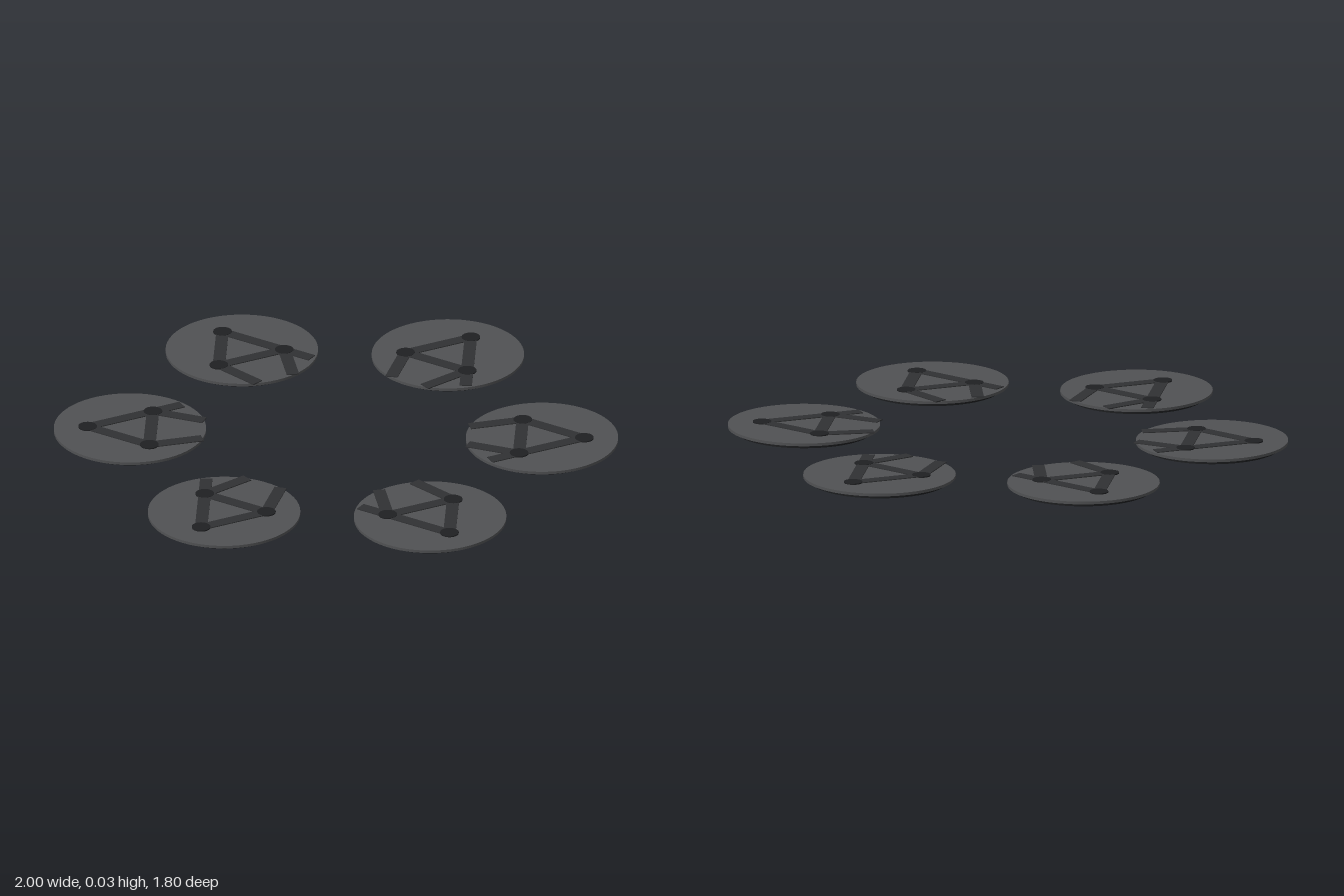
import * as THREE from 'three';

const RING = 0.73;      // distance of each disc from the centre
const DISC_R = 0.27;
const DOT_R = 0.15;     // distance of the studs from the disc centre
const TOP = 0.024;      // height of the disc's upper face

const mat = (color) => new THREE.MeshStandardMaterial({ color });

export function createModel() {
  const model = new THREE.Group();
  const baseMat = mat(0x1a1b1d);
  const discMat = mat(0x505153);
  const barMat = mat(0x303133);
  const studMat = mat(0x1f2022);

  function add(parent, name, geometry, material, x, y, z) {
    const mesh = new THREE.Mesh(geometry, material);
    mesh.name = name;
    mesh.position.set(x, y, z);
    parent.add(mesh);
    return mesh;
  }

  // Flat bar lying on the disc from point a to point b ([x, z])
  function bar(parent, name, a, b) {
    const dx = b[0] - a[0], dz = b[1] - a[1];
    const geometry = new THREE.BoxGeometry(Math.hypot(dx, dz), 0.004, 0.044);
    const mesh = add(parent, name, geometry, barMat, (a[0] + b[0]) / 2, TOP + 0.001, (a[1] + b[1]) / 2);
    mesh.rotation.y = -Math.atan2(dz, dx);
  }

  const baseGeo = new THREE.CylinderGeometry(0.245, 0.245, 0.014, 64);
  const discGeo = new THREE.CylinderGeometry(DISC_R, DISC_R, 0.01, 64);
  const studGeo = new THREE.CylinderGeometry(0.033, 0.033, 0.006, 32);

  // Stud positions: one outward, two facing the ring's centre
  const studs = [0, 1, 2].map((i) => {
    const a = (i * Math.PI * 2) / 3;
    return [DOT_R * Math.cos(a), DOT_R * Math.sin(a)];
  });
  const [, near, far] = studs;

  for (let i = 0; i < 6; i++) {
    const angle = (i * Math.PI) / 3;
    const unit = new THREE.Group();
    unit.name = `disc${i + 1}`;
    unit.position.set(RING * Math.cos(angle), 0, -RING * Math.sin(angle));
    unit.rotation.y = angle;

    add(unit, 'base', baseGeo, baseMat, 0, 0.007, 0);
    add(unit, 'plate', discGeo, discMat, 0, TOP - 0.005, 0);

    // Triangle of bars with a stud at every corner
    studs.forEach((p, k) => {
      bar(unit, 'triangleBar', p, studs[(k + 1) % 3]);
      add(unit, 'stud', studGeo, studMat, p[0], TOP + 0.001, p[1]);
    });

    // Bars running from the inner studs to the rim
    bar(unit, 'rimBar', near, [-0.26, 0.07]);
    bar(unit, 'rimBar', far, [-0.26, -0.07]);
    bar(unit, 'cornerBar', near, [-0.175, 0.188]);

    model.add(unit);
  }
  return model;
}
